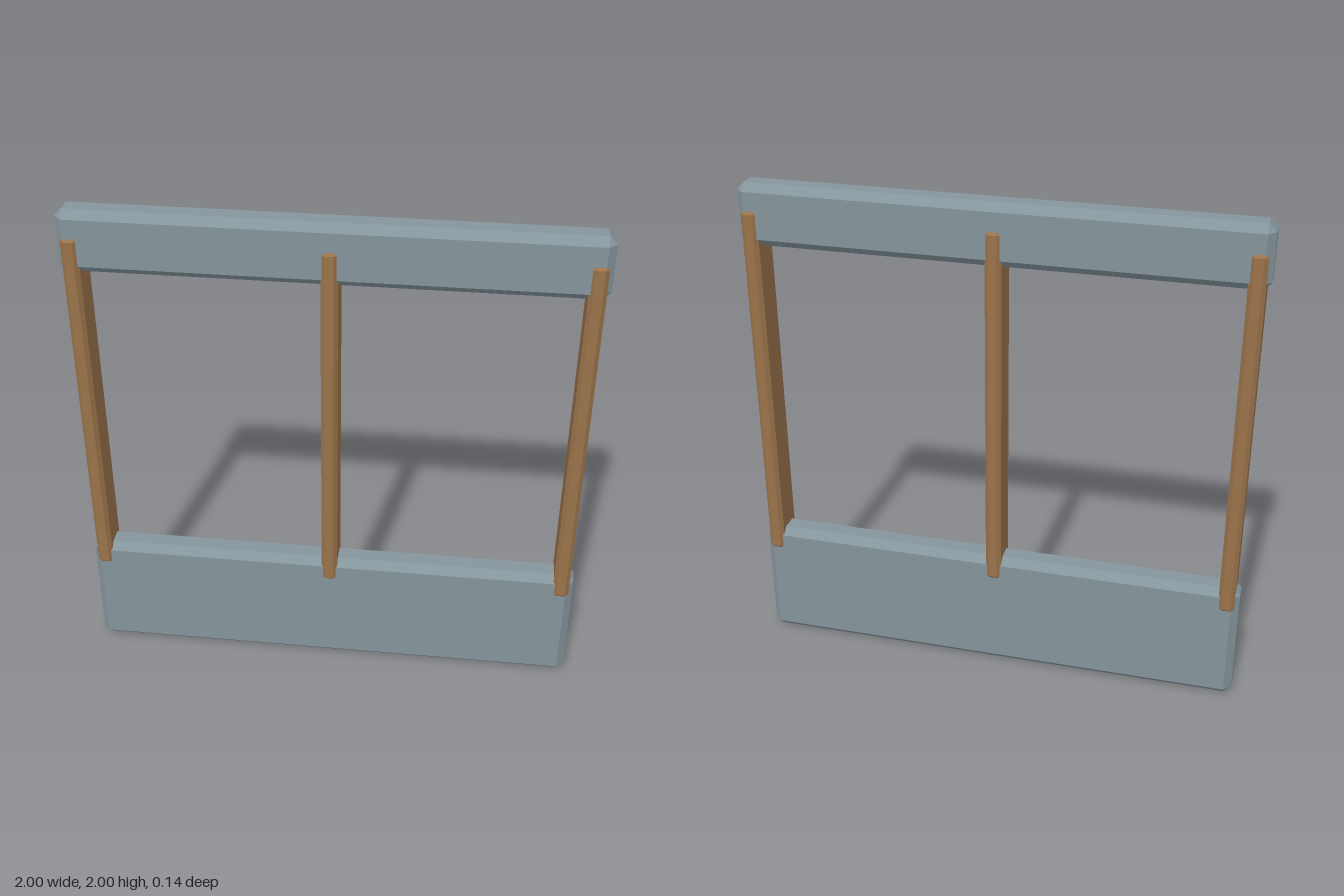
import * as THREE from 'three';
import { ConvexGeometry } from 'three/addons/geometries/ConvexGeometry.js';

// Box with all twelve edges cut by a flat chamfer
function chamferedBox(w, h, d, c) {
  const points = [];
  for (const sx of [-1, 1]) for (const sy of [-1, 1]) for (const sz of [-1, 1]) {
    const x = w / 2, y = h / 2, z = d / 2;
    points.push(
      new THREE.Vector3(sx * x, sy * (y - c), sz * (z - c)),
      new THREE.Vector3(sx * (x - c), sy * y, sz * (z - c)),
      new THREE.Vector3(sx * (x - c), sy * (y - c), sz * z)
    );
  }
  return new ConvexGeometry(points);
}

export function createModel() {
  const group = new THREE.Group();
  const railMaterial = new THREE.MeshStandardMaterial({ color: 0x84959c, flatShading: true });
  const postMaterial = new THREE.MeshStandardMaterial({ color: 0x9a734b, flatShading: true });

  function addPart(name, material, x, bottom, top, width, depth, chamfer) {
    const mesh = new THREE.Mesh(chamferedBox(width, top - bottom, depth, chamfer), material);
    mesh.name = name;
    mesh.position.set(x, (bottom + top) / 2, 0);
    group.add(mesh);
  }

  // Long panels at the foot and the head
  addPart('bottomPanel', railMaterial, 0, 0, 0.505, 2, 0.125, 0.03);
  addPart('topRail', railMaterial, 0, 1.757, 2, 2, 0.125, 0.03);

  // Three upright posts, slightly proud of the panels
  const posts = { rightPost: -0.95, middlePost: 0, leftPost: 0.95 };
  for (const [name, x] of Object.entries(posts)) {
    addPart(name, postMaterial, x, 0.41, 1.9, 0.064, 0.144, 0.015);
  }
  return group;
}
